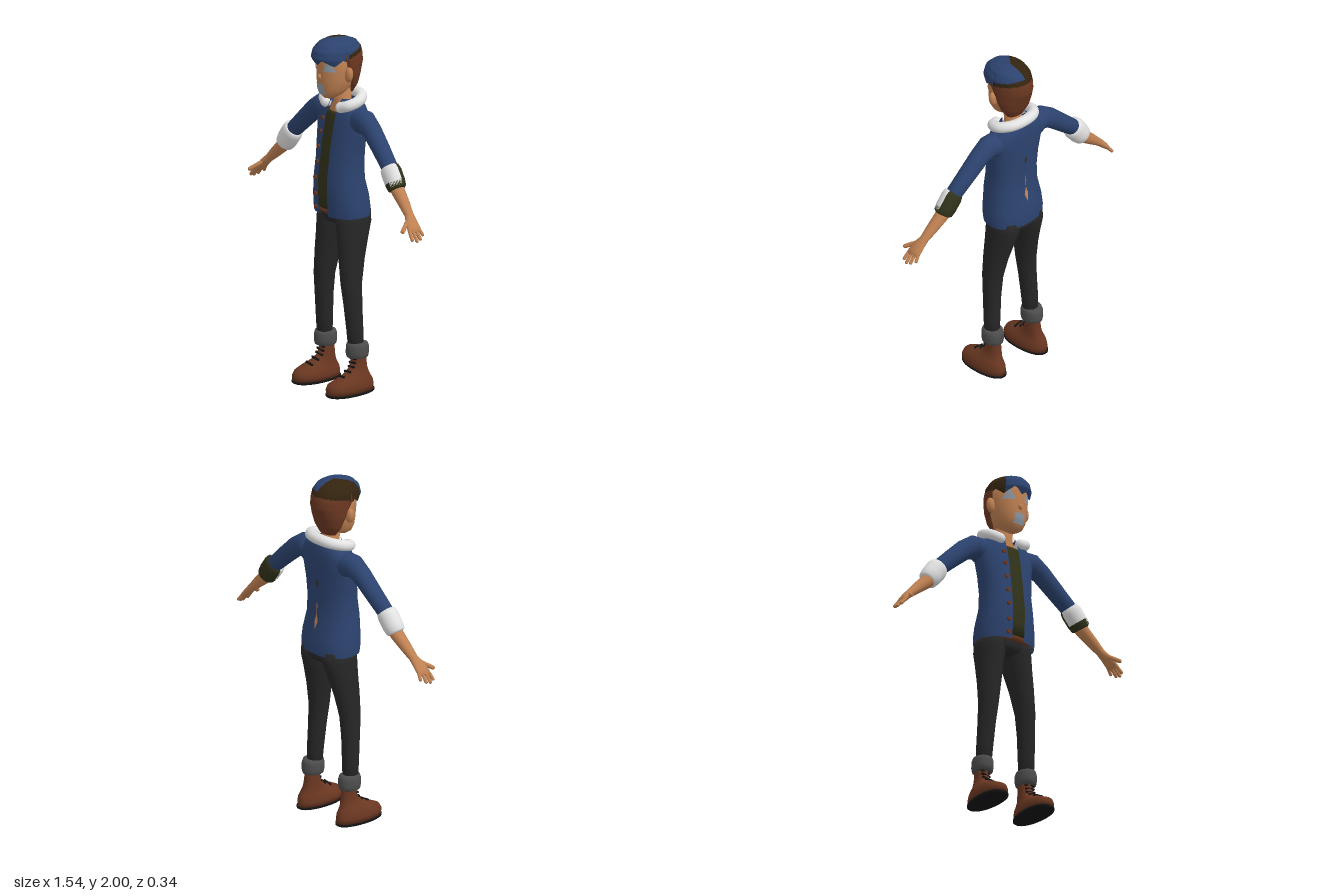
import * as THREE from 'three';

const mat = (name, color, side = THREE.FrontSide) => {
  const m = new THREE.MeshStandardMaterial({ color, side });
  m.name = name;
  return m;
};

// Surface through elliptical sections [x, y, z, rx, rz]; gap = [xLeft, xRight] leaves the front open
function loft(sections, { n = 28, p = 1, gap = null } = {}) {
  const pos = [], idx = [], cols = gap ? n + 1 : n;
  const pw = v => Math.sign(v) * Math.abs(v) ** p;
  sections.forEach(([x, y, z, rx, rz], i) => {
    const a = sections[Math.max(0, i - 1)], b = sections[Math.min(sections.length - 1, i + 1)];
    const dx = b[0] - a[0], dy = b[1] - a[1], l = Math.hypot(dx, dy);
    const at = gx => Math.acos(Math.sign(gx) * Math.min(1, Math.abs(gx) / rx) ** (1 / p));
    const t0 = gap ? at(gap[0]) : 0, t1 = Math.PI * 2 + (gap ? at(gap[1]) : 0);
    for (let j = 0; j < cols; j++) {
      const t = t0 + (t1 - t0) * j / n, u = rx * pw(Math.cos(t));
      pos.push(x + u * dy / l, y - u * dx / l, z + rz * pw(Math.sin(t)));
    }
  });
  for (let i = 0; i < sections.length - 1; i++) for (let j = 0; j < n; j++) {
    const a = i * cols + j, b = i * cols + (j + 1) % cols, c = a + cols, d = b + cols;
    idx.push(a, c, b, b, c, d);
  }
  if (!gap) for (const end of [0, sections.length - 1]) {
    const c = pos.length / 3, o = end * cols;
    pos.push(...sections[end].slice(0, 3));
    for (let j = 0; j < n; j++) {
      const k = (j + 1) % n;
      end ? idx.push(c, o + k, o + j) : idx.push(c, o + j, o + k);
    }
  }
  return build(pos, idx);
}

function build(pos, idx) {
  const g = new THREE.BufferGeometry();
  g.setAttribute('position', new THREE.Float32BufferAttribute(pos, 3));
  g.setIndex(idx);
  g.computeVertexNormals();
  return g;
}

function mirror(geo) {
  const g = geo.clone().scale(-1, 1, 1), a = g.index.array;
  for (let i = 0; i < a.length; i += 3) [a[i], a[i + 1]] = [a[i + 1], a[i]];
  return g;
}

// Sort triangles into material groups by the position of their middle
function paint(g, count, rule) {
  const p = g.attributes.position, buckets = Array.from({ length: count }, () => []), a = g.index.array;
  for (let i = 0; i < a.length; i += 3) {
    const t = [a[i], a[i + 1], a[i + 2]], mid = f => t.reduce((s, k) => s + p[f](k), 0) / 3;
    buckets[rule(mid('getX'), mid('getY'), mid('getZ'))].push(...t);
  }
  g.setIndex(buckets.flat());
  let start = 0;
  buckets.forEach((b, i) => { g.addGroup(start, b.length, i); start += b.length; });
  return g;
}

// Rounded rod between two points
function rod(a, b, r) {
  const A = new THREE.Vector3(...a), B = new THREE.Vector3(...b), d = B.clone().sub(A);
  const q = new THREE.Quaternion().setFromUnitVectors(new THREE.Vector3(0, 1, 0), d.clone().normalize());
  const g = new THREE.CapsuleGeometry(r, d.length(), 4, 10).applyQuaternion(q);
  return g.translate(...A.add(B).multiplyScalar(0.5).toArray());
}

// Front (s = 1) or back (s = -1) depth of a sectioned body at x, y
function depth(sec, x, y, p = 1, s = 1) {
  let i = 0;
  while (i < sec.length - 2 && sec[i + 1][1] < y) i++;
  const k = (y - sec[i][1]) / (sec[i + 1][1] - sec[i][1]);
  const [, , z, rx, rz] = sec[i].map((v, j) => v + (sec[i + 1][j] - v) * k);
  const c = Math.min(1, Math.abs(x) / rx) ** (1 / p);
  return z + s * rz * Math.sqrt(1 - c * c) ** p;
}
function drape(g, sec, p, s, off) {
  const a = g.attributes.position;
  for (let i = 0; i < a.count; i++) a.setZ(i, depth(sec, a.getX(i), a.getY(i), p, s) + s * off);
  g.computeVertexNormals();
  return g;
}

export function createModel() {
  const root = new THREE.Group();
  root.name = 'standingFigure';
  const D = THREE.DoubleSide;
  const skin = mat('skin', 0xc08152), blue = mat('denim blue', 0x2c436f, D), white = mat('fleece white', 0xe2e2e2);
  const olive = mat('dark olive', 0x31321a), black = mat('trouser black', 0x262626), grey = mat('turn-up grey', 0x4d4d4d);
  const brown = mat('leather brown', 0x6a3721, D), dark = mat('dark brown', 0x33240f, D);
  const pale = mat('pale grey', 0x8f9aa6, D), sole = mat('sole black', 0x141414);
  const add = (name, geo, m) => {
    const mesh = new THREE.Mesh(geo, m);
    mesh.name = name;
    root.add(mesh);
  };
  const pair = (name, geo, m) => {
    add(name + 'Left', geo, m);
    add(name + 'Right', mirror(geo), m);
  };

  // Head, neck and face
  const head = [[0, 1.665, .05, .03, .03], [0, 1.685, .035, .06, .065], [0, 1.72, .015, .085, .095], [0, 1.77, .005, .1, .11],
    [0, 1.83, 0, .106, .115], [0, 1.88, 0, .106, .115], [0, 1.93, 0, .09, .11], [0, 1.97, 0, .05, .06]];
  add('head', loft(head, { n: 36 }), skin);
  add('neck', loft([[0, 1.5, -.04, .09, .06], [0, 1.58, -.035, .075, .062], [0, 1.63, -.04, .05, .05], [0, 1.72, -.03, .048, .05]]), skin);
  add('nose', new THREE.SphereGeometry(1, 14, 10).scale(.013, .018, .014).translate(0, 1.79, .114), skin);
  pair('ear', new THREE.SphereGeometry(1, 16, 12).scale(.026, .044, .022).rotateZ(-.15).translate(.114, 1.81, 0), skin);
  const eye = new THREE.PlaneGeometry(.062, .062, 8, 8), e = eye.attributes.position;
  for (let i = 0; i < e.count; i++) e.setX(i, .06 + e.getX(i) * (.55 - e.getY(i) / .07));
  pair('eye', drape(eye.translate(0, 1.86, 0), head, 1, 1, .004), pale);
  add('mouth', drape(new THREE.PlaneGeometry(.065, .062, 8, 8).translate(0, 1.721, 0), head, 1, 1, .005), pale);

  // Hair shell with jagged fringe
  const hs = [[2, -.01, 0, 0], [1.99, -.005, .06, .07], [1.972, -.003, .09, .115], [1.94, 0, .11, .143], [1.9, 0, .117, .153],
    [1.86, -.012, .116, .142], [1.8, -.035, .111, .1], [1.74, -.05, .094, .065], [1.69, -.055, .06, .035]];
  const hp = [], hi = [], C = 96, R = 40;
  for (let r = 0; r <= R; r++) for (let c = 0; c < C; c++) {
    const a = c / C * Math.PI * 2, saw = Math.abs((a * 2.3 + .4) % 2 - 1);
    const t = (Math.sin(a) > .1 ? 4.1 + .9 * saw : 8) * r / R, i = Math.min(7, Math.floor(t));
    const [y, z, rx, rz] = hs[i].map((v, k) => v + (hs[i + 1][k] - v) * (t - i));
    hp.push(rx * Math.cos(a), y, z + rz * Math.sin(a));
    if (r < R) {
      const u = r * C + c, v = r * C + (c + 1) % C;
      hi.push(u, v, u + C, v, v + C, u + C);
    }
  }
  const hairRule = (x, y, z) => {
    if (z < .01 && y < 1.9 - z * .2) return 2;
    if (x < -Math.max(0, z + .02) * .75 || (z < 0 && y < 1.92 - z * .25)) return 1;
    return 0;
  };
  add('hair', paint(build(hp, hi), 3, hairRule), [blue, dark, brown]);

  // Open jacket over a shirt
  const torso = [[0, .995, -.037, .174, .128], [0, 1.03, -.036, .177, .131], [0, 1.1, -.03, .171, .13], [0, 1.2, -.018, .156, .119],
    [0, 1.3, -.023, .15, .111], [0, 1.4, -.03, .16, .105], [0, 1.5, -.042, .176, .099], [0, 1.56, -.05, .18, .093],
    [0, 1.605, -.055, .155, .084], [0, 1.635, -.06, .11, .074], [0, 1.655, -.06, .075, .065]];
  add('jacket', loft(torso, { n: 56, p: .85, gap: [-.036, .044] }), blue);
  const shirt = torso.slice(1, 8).map(([x, y, z, rx, rz]) => [x, y, z, rx * .93, rz - .012]);
  add('shirt', loft([...shirt, [0, 1.58, -.05, .11, .078]], { n: 40, p: .85 }), olive);
  for (const y of [1.53, 1.455, 1.37, 1.285, 1.2, 1.105, 1.03]) {
    const z = depth(torso, -.062, y, .85);
    add('button', new THREE.CylinderGeometry(.012, .012, .014, 14).rotateX(Math.PI / 2).translate(-.062, y, z + .003), brown);
  }
  const slit = (w, h, y) => drape(new THREE.CircleGeometry(1, 4).scale(w, h, 1).rotateY(Math.PI).translate(0, y, 0), torso, .85, -1, .004);
  add('backTear', slit(.013, .045, 1.185), skin);
  add('backTearThread', slit(.004, .04, 1.27), skin);
  add('backTearUpper', slit(.009, .03, 1.41), olive);

  // Fleece collar with rounded ends
  const half = [[.07, 1.615, .022], [.115, 1.632, 0], [.125, 1.65, -.055], [.082, 1.664, -.108]];
  const path = [...half, [0, 1.668, -.125], ...half.map(([x, y, z]) => [-x, y, z]).reverse()];
  add('collar', new THREE.TubeGeometry(new THREE.CatmullRomCurve3(path.map(v => new THREE.Vector3(...v))), 48, .031, 14), white);
  pair('collarEnd', new THREE.SphereGeometry(.031, 16, 12).translate(...half[0]), white);

  // Sleeves, cuffs, forearms and hands
  pair('sleeve', loft([[.1, 1.52, -.05, .07, .06], [.15, 1.545, -.05, .072, .066], [.2, 1.552, -.05, .066, .06],
    [.265, 1.515, -.048, .056, .053], [.35, 1.44, -.044, .051, .05], [.46, 1.34, -.036, .045, .045]]), blue);
  const cuff = loft([[.442, 1.36, -.034, .045, .043], [.447, 1.354, -.034, .057, .052], [.463, 1.334, -.034, .063, .056],
    [.5, 1.286, -.032, .061, .056], [.522, 1.258, -.031, .055, .051], [.527, 1.251, -.031, .042, .04]], { n: 40 });
  add('sleeveCuffRight', mirror(cuff), white);
  const cuffRule = (x, y, z) => (z < -.042 || x - y - .4 * (x + y - 1.79) > -.775 ? 1 : 0);
  add('sleeveCuffLeft', paint(cuff, 2, cuffRule), [white, olive]);
  pair('forearm', loft([[.49, 1.29, -.032, .04, .042], [.53, 1.245, -.03, .038, .039], [.6, 1.185, -.024, .031, .032],
    [.65, 1.14, -.018, .023, .026], [.68, 1.112, -.01, .021, .036], [.71, 1.08, -.006, .018, .042], [.727, 1.06, -.006, .013, .04]]), skin);
  [[-.037, -.045, .022], [-.015, -.018, .006], [.007, .008, 0], [.027, .034, .008]].forEach(([z0, z1, cut]) =>
    pair('finger', rod([.713, 1.076, z0], [.76 - cut, 1.022 + cut, z1], .0095), skin));
  pair('thumb', rod([.678, 1.112, .015], [.712, 1.075, .07], .012), skin);

  // Trousers and belt
  add('hips', loft([[0, .935, -.05, .07, .06], [0, .95, -.05, .13, .095], [0, .975, -.05, .157, .109], [0, 1.06, -.045, .16, .105]], { n: 40, p: .85 }), black);
  add('belt', loft([[0, 1, -.045, .164, .116], [0, 1.035, -.045, .164, .116]], { n: 40, p: .85 }), brown);
  pair('trouserLeg', loft([[.145, .25, -.024, .042, .043], [.142, .35, -.02, .046, .047], [.134, .5, -.012, .048, .054],
    [.125, .62, -.008, .053, .063], [.112, .75, -.02, .061, .077], [.099, .86, -.036, .068, .093],
    [.088, .95, -.049, .076, .108], [.085, 1.02, -.05, .076, .105]]), black);
  pair('turnUp', loft([[.148, .197, -.032, .044, .05], [.148, .203, -.032, .054, .062], [.148, .225, -.032, .058, .067],
    [.148, .262, -.032, .057, .066], [.147, .28, -.031, .052, .06], [.147, .285, -.031, .042, .046]]), grey);

  // Boots, widening towards the toe
  const boot = [[.157, .012, .022, .07, .149], [.157, .04, .024, .073, .15], [.156, .065, .02, .068, .142], [.155, .085, .005, .059, .116],
    [.152, .11, -.02, .046, .078], [.149, .14, -.036, .04, .054], [.148, .18, -.04, .037, .045], [.148, .24, -.04, .037, .045]];
  const toe = g => {
    const a = g.attributes.position;
    for (let i = 0; i < a.count; i++) a.setX(i, .155 + (a.getX(i) - .155) * (1 + .8 * a.getZ(i)));
    g.computeVertexNormals();
    return g;
  };
  pair('boot', toe(loft(boot, { n: 36, p: .9 })), brown);
  pair('sole', toe(loft([[.157, 0, .022, .07, .148], [.157, .004, .022, .074, .153], [.157, .015, .022, .074, .153]], { n: 36, p: .9 })), sole);
  for (const y of [.1, .122, .145, .168, .19]) {
    const z = depth(boot, 0, y);
    pair('lace', rod([.125, y, z - .008], [.175, y + .006, z - .006], .007), sole);
  }
  return root;
}
